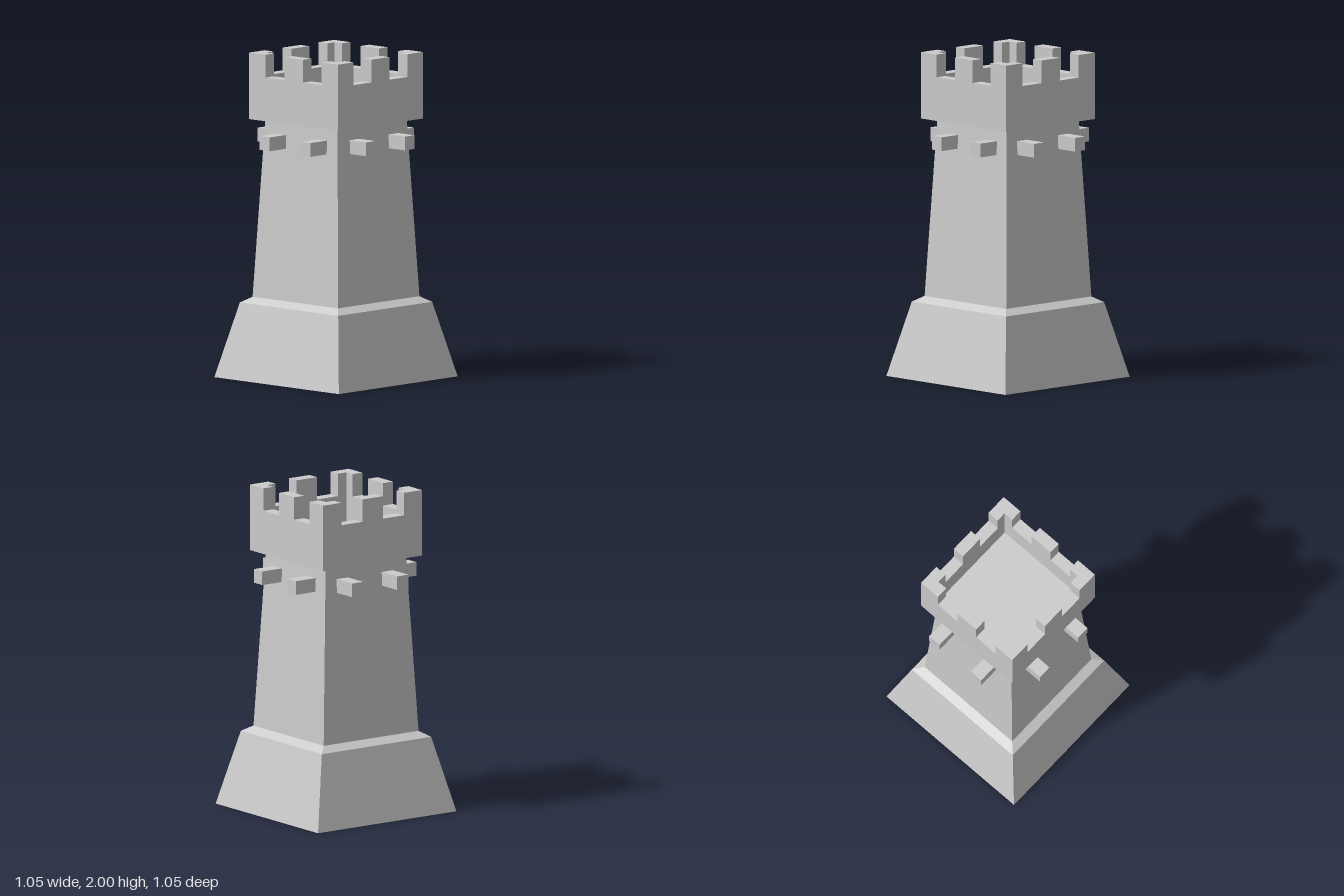
import * as THREE from 'three';

const stone = new THREE.MeshStandardMaterial({ color: 0xcccccc, flatShading: true });
const shell = new THREE.MeshStandardMaterial({ color: 0xcccccc, flatShading: true, side: THREE.DoubleSide });

const OUT = 0.375; // half width of the parapet, outside
const IN = 0.3;    // half width of the parapet, inside
const WALL = OUT - IN;
const PARAPET_Y = 1.59, NOTCH_Y = 1.86, TOP_Y = 2, FLOOR_Y = 1.66;

// Points of an XY outline
const pts = (list) => list.map(([x, y]) => new THREE.Vector2(x, y));
const square = (h) => pts([[-h, -h], [h, -h], [h, h], [-h, h]]);

function add(group, name, geometry, material = stone) {
  const mesh = new THREE.Mesh(geometry, material);
  mesh.name = name;
  group.add(mesh);
  return mesh;
}

// Box given by its two extreme corners
function box(group, name, [x0, y0, z0], [x1, y1, z1]) {
  const mesh = add(group, name, new THREE.BoxGeometry(x1 - x0, y1 - y0, z1 - z0));
  mesh.position.set((x0 + x1) / 2, (y0 + y1) / 2, (z0 + z1) / 2);
  return mesh;
}

// Open four-sided taper between two heights
function taper(group, name, h0, y0, h1, y1) {
  const geo = new THREE.CylinderGeometry(h1 * Math.SQRT2, h0 * Math.SQRT2, y1 - y0, 4, 1, true, Math.PI / 4);
  add(group, name, geo, shell).position.y = (y0 + y1) / 2;
}

// Plan outline raised from y0 to y1
function raise(group, name, shape, y0, y1) {
  const geo = new THREE.ExtrudeGeometry(shape, { depth: y1 - y0, bevelEnabled: false });
  geo.rotateX(-Math.PI / 2);
  const mesh = add(group, name, geo);
  mesh.position.y = y0;
  return mesh;
}

export function createModel() {
  const model = new THREE.Group();
  model.name = 'castleTower';

  // Hollow body, open underneath
  taper(model, 'base', 0.525, 0, 0.415, 0.46);
  taper(model, 'baseLedge', 0.415, 0.46, 0.36, 0.495);
  taper(model, 'towerWalls', 0.36, 0.495, 0.305, PARAPET_Y);

  // Beams running through the tower, ends showing on each face
  const beams = new THREE.Group();
  beams.name = 'beams';
  for (const [a, b] of [[-0.21, -0.125], [0.135, 0.22]]) {
    box(beams, 'beamFrontToBack', [a, 1.425, -0.46], [b, 1.51, 0.455]);
  }
  for (const [a, b] of [[-0.225, -0.14], [0.118, 0.203]]) {
    box(beams, 'beamSideToSide', [-0.468, 1.425, a], [0.447, 1.51, b]);
  }
  model.add(beams);

  // Parapet ring with the roof floor sunk inside it
  const ring = new THREE.Shape(square(OUT));
  ring.holes.push(new THREE.Path(square(IN)));
  raise(model, 'parapet', ring, PARAPET_Y, NOTCH_Y);
  box(model, 'roofFloor', [-IN, PARAPET_Y, -IN], [IN, FLOOR_Y, IN]);

  // L-shaped corner merlons and one middle merlon per side
  const merlons = new THREE.Group();
  merlons.name = 'merlons';
  const arm = 0.237;
  const corner = new THREE.Shape(pts([[OUT, OUT], [arm, OUT], [arm, IN], [IN, IN], [IN, arm], [OUT, arm]]));
  for (let i = 0; i < 4; i++) {
    const side = new THREE.Group();
    side.name = 'merlonSide';
    side.rotation.y = i * Math.PI / 2;
    raise(side, 'cornerMerlon', corner, NOTCH_Y, TOP_Y);
    box(side, 'middleMerlon', [-0.078, NOTCH_Y, OUT - WALL], [0.078, TOP_Y, OUT]);
    merlons.add(side);
  }
  model.add(merlons);

  return model;
}
